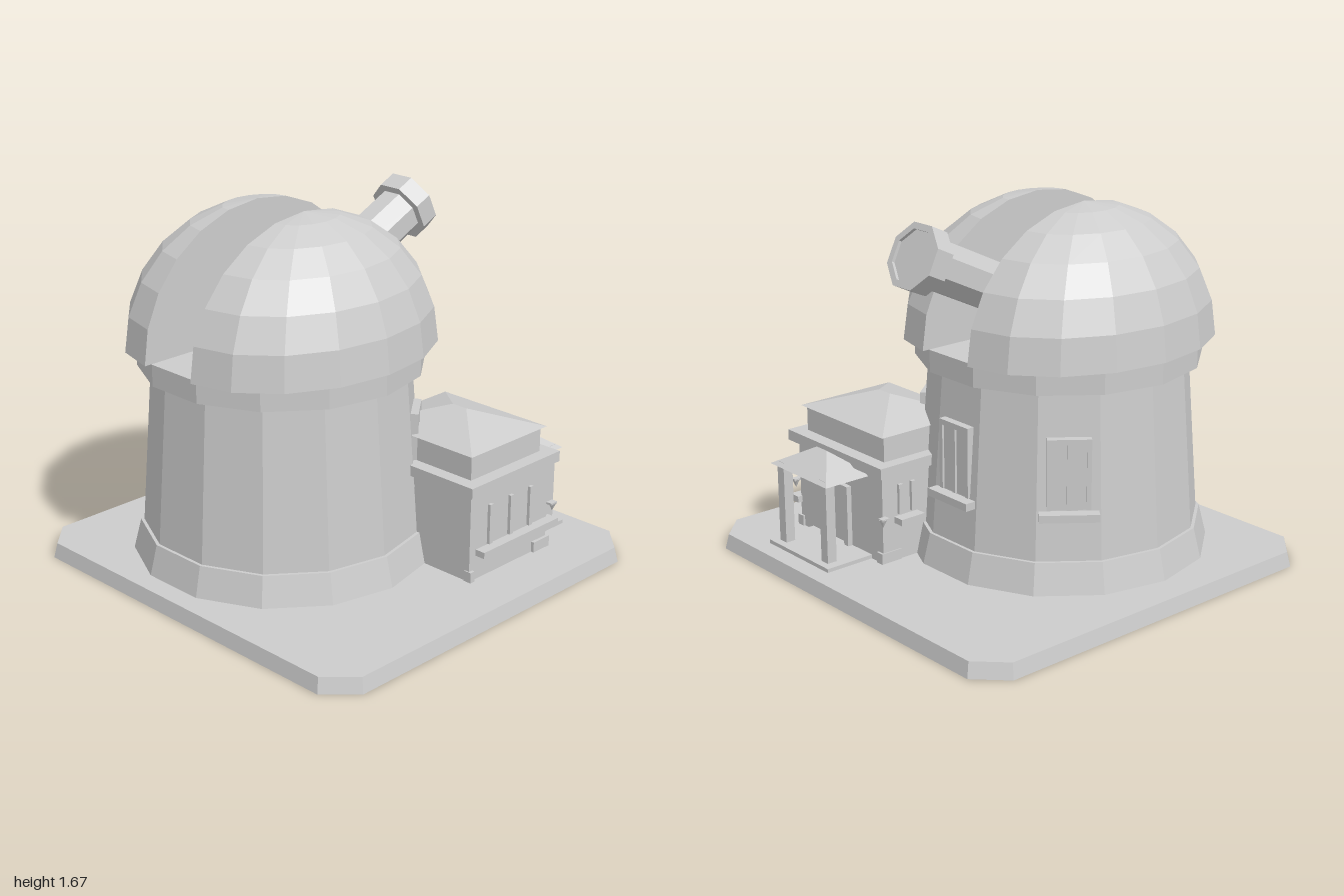
import * as THREE from 'three';

const stone = new THREE.MeshStandardMaterial({ color: 0xcccccc, flatShading: true, side: THREE.DoubleSide });
stone.name = 'pale grey stone';

const TX = -0.15, TZ = 0.185; // tower axis
const FLOOR = 0.07;

function add(parent, name, geometry) {
  const mesh = new THREE.Mesh(geometry, stone);
  mesh.name = name;
  parent.add(mesh);
  return mesh;
}

function group(parent, name) {
  const g = new THREE.Group();
  g.name = name;
  parent.add(g);
  return g;
}

// Box given by its limits on each axis
function box(parent, name, x0, x1, y0, y1, z0, z1) {
  const mesh = add(parent, name, new THREE.BoxGeometry(x1 - x0, y1 - y0, z1 - z0));
  mesh.position.set((x0 + x1) / 2, (y0 + y1) / 2, (z0 + z1) / 2);
  return mesh;
}

// Skin over closed loops of [x, y, z], listed from bottom to top
function loft(loops, capBottom, capTop) {
  const out = [];
  const n = loops[0].length;
  for (let k = 0; k + 1 < loops.length; k++) {
    for (let i = 0; i < n; i++) {
      const j = (i + 1) % n;
      const a = loops[k], b = loops[k + 1];
      out.push(...a[i], ...a[j], ...b[j], ...a[i], ...b[j], ...b[i]);
    }
  }
  const last = loops[loops.length - 1];
  for (let i = 1; i + 1 < n; i++) {
    if (capBottom) out.push(...loops[0][0], ...loops[0][i + 1], ...loops[0][i]);
    if (capTop) out.push(...last[0], ...last[i], ...last[i + 1]);
  }
  const geometry = new THREE.BufferGeometry();
  geometry.setAttribute('position', new THREE.Float32BufferAttribute(out, 3));
  geometry.computeVertexNormals();
  return geometry;
}

const rectLoop = (x0, x1, z0, z1, y) => [[x0, y, z1], [x1, y, z1], [x1, y, z0], [x0, y, z0]];

// Rectangle with cut corners
function octLoop(w, d, c, y) {
  return [[-w + c, y, d], [w - c, y, d], [w, y, d - c], [w, y, -d + c],
    [w - c, y, -d], [-w + c, y, -d], [-w, y, -d + c], [-w, y, d - c]];
}

// Fourteen-sided ring with a flat side facing front
function towerLoop(r, y) {
  return Array.from({ length: 14 }, (_, i) => {
    const t = (i + 0.5) / 14 * Math.PI * 2;
    return [TX + r * Math.sin(t), y, TZ + r * Math.cos(t)];
  });
}

// Half of the dome on one side of the slit
function domeHalf(side) {
  const loops = [];
  for (let k = 0; k <= 6; k++) {
    const lat = k / 6 * Math.PI / 2;
    const c = Math.cos(lat), loop = [];
    for (let i = 0; i <= 8; i++) {
      const t = i / 8 * Math.PI + (side < 0 ? Math.PI : 0);
      loop.push([TX + side * 0.148 + 0.512 * c * Math.sin(t), 1.06 + 0.612 * Math.sin(lat), TZ + 0.663 * c * Math.cos(t)]);
    }
    loops.push(loop);
  }
  return loft(loops, true, false);
}

// Tall framed window with a sill, built facing +z at the origin
function towerWindow(parent, angle) {
  const g = group(parent, 'towerWindow');
  const w = 0.085;
  for (const x of [-w, 0, w]) box(g, 'windowUpright', x - 0.01, x + 0.01, 0.44, 0.76, -0.04, 0.025);
  box(g, 'windowHead', -w - 0.01, w + 0.01, 0.735, 0.76, -0.04, 0.025);
  box(g, 'windowPane', -w, w, 0.44, 0.74, -0.05, 0.015);
  box(g, 'windowSill', -0.13, 0.13, 0.4, 0.435, -0.03, 0.065);
  g.position.set(TX + 0.595 * Math.sin(angle), 0, TZ + 0.595 * Math.cos(angle));
  g.rotation.y = angle;
}

function buildTower(root) {
  const tower = group(root, 'tower');
  add(tower, 'skirt', loft([towerLoop(0.69, FLOOR), towerLoop(0.655, 0.21), towerLoop(0.64, 0.21)]));
  add(tower, 'towerWall', loft([towerLoop(0.64, 0.21), towerLoop(0.585, 0.96)]));
  add(tower, 'domeRing', loft([towerLoop(0.645, 0.96), towerLoop(0.645, 1.06)], true, true));
  for (const side of [-1, 1]) add(tower, side > 0 ? 'domeLeft' : 'domeRight', domeHalf(side));
  const step = Math.PI * 2 / 14;
  for (const k of [-2, 0, 2]) towerWindow(tower, Math.PI + k * step);
}

function buildTelescope(root) {
  const scope = group(root, 'telescope');
  const tube = add(scope, 'telescopeTube', new THREE.CylinderGeometry(0.115, 0.115, 0.8, 8));
  tube.position.y = 0.4;
  tube.rotation.y = Math.PI / 8;
  // Collar with a recessed lens
  const profile = [[0, 0.75], [0.15, 0.75], [0.15, 0.84], [0.12, 0.84], [0.12, 0.825], [0, 0.825]];
  const collar = add(scope, 'telescopeCollar', new THREE.LatheGeometry(profile.map(p => new THREE.Vector2(...p)), 8));
  collar.rotation.y = Math.PI / 8;
  scope.position.set(TX, 1.175, 0.114);
  scope.rotation.x = -THREE.MathUtils.degToRad(64.5);
}

function buildHouse(root) {
  const house = group(root, 'house');
  box(house, 'houseWalls', 0.115, 0.74, FLOOR, 0.5, -0.625, -0.094);
  box(house, 'cornice', 0.075, 0.775, 0.49, 0.54, -0.66, -0.06);
  box(house, 'upperStorey', 0.135, 0.71, 0.54, 0.665, -0.595, -0.125);
  add(house, 'houseRoof', loft([rectLoop(0.118, 0.73, -0.615, -0.103, 0.66), rectLoop(0.39, 0.47, -0.36, -0.36, 0.745)], true));

  // Plinth blocks at the corners
  for (const x of [0.13, 0.735]) {
    for (const [z0, z1] of [[-0.635, -0.525], [-0.115, -0.088]]) {
      box(house, 'plinth', x - 0.02, x + 0.02, FLOOR, 0.12, z0, z1);
    }
  }

  // Slit windows and long sill on the outer wall
  for (const z of [-0.22, -0.36, -0.495]) box(house, 'slitWindow', 0.73, 0.755, 0.22, 0.41, z - 0.011, z + 0.011);
  box(house, 'outerSill', 0.73, 0.79, 0.185, 0.215, -0.65, -0.135);

  // Window and sill on the inner wall
  for (const z of [-0.53, -0.46]) box(house, 'slitWindow', 0.1, 0.13, 0.29, 0.43, z - 0.011, z + 0.011);
  box(house, 'innerSill', 0.06, 0.13, 0.25, 0.28, -0.56, -0.43);

  // Small wall lamps by the porch
  for (const x of [0.1, 0.765]) {
    const lamp = add(house, 'lamp', new THREE.ConeGeometry(0.02, 0.04, 6));
    lamp.position.set(x, 0.27, -0.635);
    lamp.rotation.x = Math.PI;
    box(house, 'lampBracket', x - 0.015, x + 0.015, 0.285, 0.295, -0.65, -0.61);
  }

  // Door frame
  for (const x of [0.36, 0.5]) box(house, 'doorPost', x - 0.015, x + 0.015, FLOOR, 0.36, -0.65, -0.61);
  box(house, 'doorHead', 0.345, 0.515, 0.345, 0.375, -0.65, -0.61);
}

function buildPorch(root) {
  const porch = group(root, 'porch');
  box(porch, 'porchSlab', 0.2, 0.65, FLOOR, 0.088, -0.87, -0.6);
  for (const x of [0.27, 0.59]) box(porch, 'porchPost', x - 0.024, x + 0.024, 0.085, 0.475, -0.835, -0.787);
  add(porch, 'porchRoof', loft([rectLoop(0.215, 0.64, -0.855, -0.6, 0.46), rectLoop(0.39, 0.465, -0.72, -0.72, 0.555)]));
}

export function createModel() {
  const root = new THREE.Group();
  root.name = 'observatory';
  add(root, 'base', loft([octLoop(1, 0.97, 0.13, 0), octLoop(0.985, 0.955, 0.125, FLOOR)], false, true));
  buildTower(root);
  buildTelescope(root);
  buildHouse(root);
  buildPorch(root);
  return root;
}
